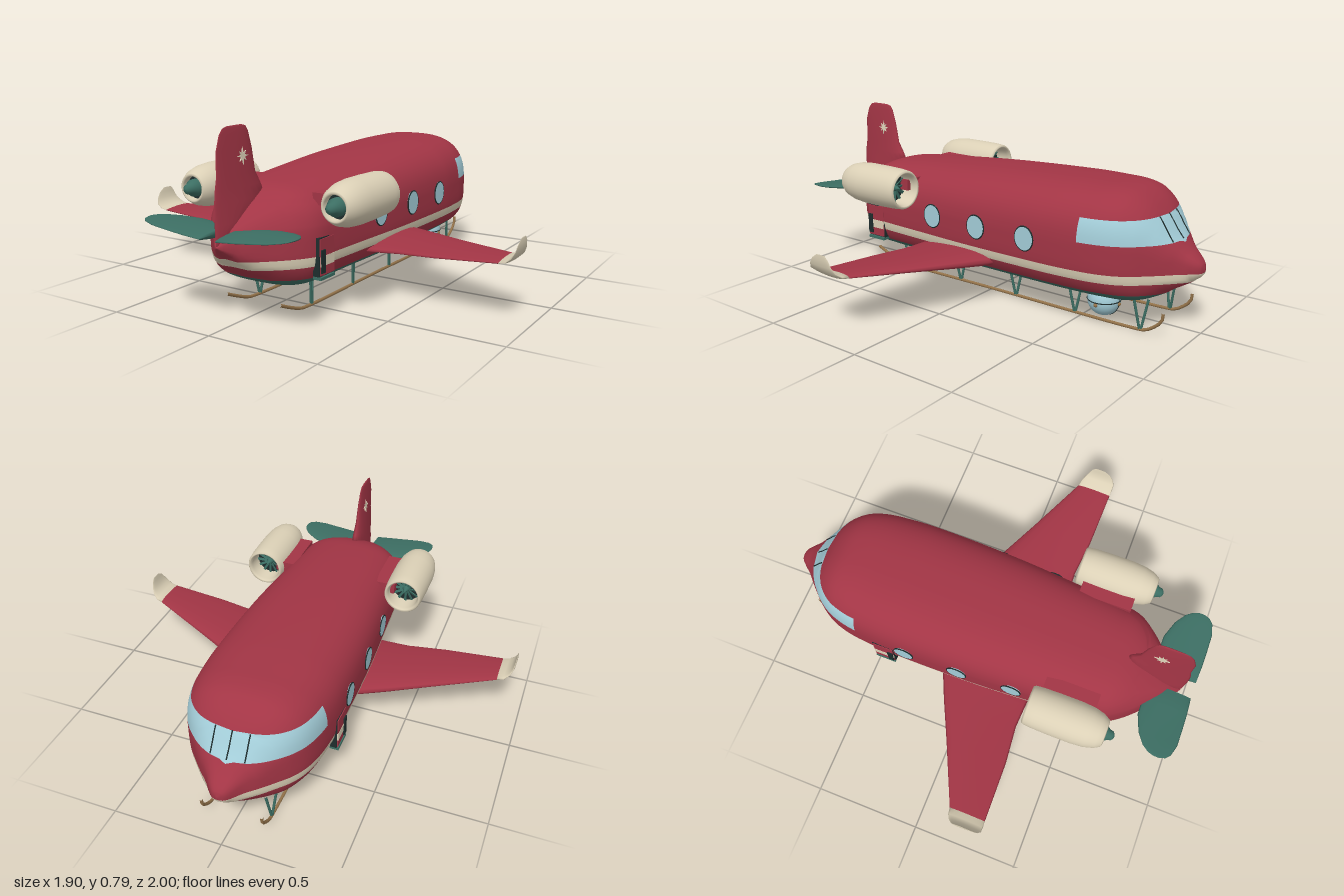
import * as THREE from 'three';
import { mergeVertices } from 'three/addons/utils/BufferGeometryUtils.js';

const V = (x, y, z) => new THREE.Vector3(x, y, z);
const mat = (name, color) => Object.assign(new THREE.MeshStandardMaterial({ color }), { name });

// Fuselage stations: z, half width, top, bottom
const STATIONS = [
  [-1, 0.003, 0.288, 0.275], [-0.992, 0.026, 0.309, 0.256], [-0.97, 0.05, 0.332, 0.236], [-0.93, 0.083, 0.365, 0.208],
  [-0.88, 0.135, 0.42, 0.177], [-0.83, 0.183, 0.492, 0.15], [-0.78, 0.228, 0.548, 0.13], [-0.72, 0.265, 0.586, 0.121],
  [-0.65, 0.289, 0.6, 0.12], [-0.57, 0.303, 0.602, 0.12], [-0.4, 0.314, 0.602, 0.12], [0, 0.31, 0.586, 0.12],
  [0.3, 0.293, 0.566, 0.12], [0.58, 0.275, 0.542, 0.12], [0.66, 0.258, 0.527, 0.128], [0.74, 0.206, 0.492, 0.158],
  [0.82, 0.13, 0.442, 0.212], [0.89, 0.058, 0.387, 0.28], [0.925, 0.024, 0.353, 0.315], [0.94, 0.003, 0.336, 0.332]];

// Smooth interpolation of the stations
function section(z) {
  const S = STATIONS, last = S.length - 1;
  let i = 0;
  while (i < last - 1 && z > S[i + 1][0]) i++;
  const d = S[i + 1][0] - S[i][0], t = (z - S[i][0]) / d;
  const slope = (k, c) => {
    const a = S[Math.max(0, k - 1)], b = S[Math.min(last, k + 1)];
    return (b[c] - a[c]) / (b[0] - a[0]);
  };
  const [w, top, bot] = [1, 2, 3].map(c => (2 * t ** 3 - 3 * t * t + 1) * S[i][c] + (t ** 3 - 2 * t * t + t) * d * slope(i, c)
    + (3 * t * t - 2 * t ** 3) * S[i + 1][c] + (t ** 3 - t * t) * d * slope(i + 1, c));
  return { w: Math.max(w, 0.002), yc: (top + bot) / 2, h: Math.max((top - bot) / 2, 0.002) };
}
const power = t => (t < 0 ? 3.3 : 2.7);
function surfaceX(z, y) {
  const { w, yc, h } = section(z), t = (y - yc) / h, n = power(t);
  return Math.abs(t) >= 1 ? -1 : w * (1 - Math.abs(t) ** n) ** (1 / n);
}

// Skin closed rings, cap both ends and turn the faces outward
function loft(rings, pick = () => 0) {
  const n = rings[0].length, m = rings.length, pts = rings.flat(), lists = [];
  const add = (k, ...tri) => (lists[k] ||= []).push(tri);
  for (let i = 0; i < m - 1; i++) for (let j = 0; j < n; j++) {
    const a = i * n + j, b = i * n + (j + 1) % n, k = pick(i, j);
    add(k, a, b, b + n); add(k, a, b + n, a + n);
  }
  for (const e of [0, m - 1]) {
    const c = pts.length;
    pts.push(rings[e].reduce((s, p) => s.add(p), V(0, 0, 0)).divideScalar(n));
    for (let j = 0; j < n; j++) {
      const a = e * n + j, b = e * n + (j + 1) % n;
      e ? add(pick(e - 1, j), a, b, c) : add(pick(0, j), b, a, c);
    }
  }
  let volume = 0;
  lists.flat().forEach(([a, b, c]) => { volume += pts[a].dot(V(0, 0, 0).crossVectors(pts[b], pts[c])); });
  if (volume < 0) lists.flat().forEach(t => t.reverse());
  const g = new THREE.BufferGeometry().setFromPoints(pts);
  g.setIndex(lists.flat(2));
  let start = 0;
  lists.forEach((l, k) => { g.addGroup(start, l.length * 3, k); start += l.length * 3; });
  const out = mergeVertices(g, 1e-5);
  out.computeVertexNormals();
  return out;
}

// Aerofoil ring in a plane of constant span; tilt turns its thickness from y towards x
function foil(s, [x, y, z0, z1, T, tilt]) {
  return Array.from({ length: 20 }, (_, i) => {
    const a = i / 20 * Math.PI * 2, c = Math.cos(a), th = T / 2 * Math.sin(a) * (1 - 0.35 * c);
    return V(s * (x - th * Math.sin(tilt)), y + th * Math.cos(tilt), (z0 + z1) / 2 + (z1 - z0) / 2 * c);
  });
}

export function createModel() {
  const red = mat('red paint', 0xa23545), cream = mat('cream paint', 0xdbd0b6), green = mat('dark green', 0x3c6e63),
    blue = mat('pale glass', 0xa3cdd8), brown = mat('runner wood', 0x94734a), dark = mat('dark trim', 0x1e2d2d);
  const model = new THREE.Group();
  model.name = 'aircraft';
  const put = (name, geo, m, x = 0, y = 0, z = 0, parent = model) => {
    const mesh = new THREE.Mesh(geo, m);
    mesh.name = name; mesh.position.set(x, y, z); parent.add(mesh);
    return mesh;
  };
  const tube = (name, pts, r, m, seg = 12) => put(name, new THREE.TubeGeometry(new THREE.CatmullRomCurve3(pts), seg, r, 8), m);

  // Fuselage with belly, stripe and windscreen bands
  const levels = [-9, 0.175, 0.23, 0.27, 0.395, 0.495, 9], steps = [10, 2, 2, 5, 4, 10], bandOf = steps.flatMap((c, b) => Array(c).fill(b));
  const zs = STATIONS.slice(1).flatMap((st, i) => [0, 1, 2, 3, 4].map(k => STATIONS[i][0] + (st[0] - STATIONS[i][0]) * k / 5)).concat(0.94);
  const bodyRings = zs.map(z => {
    const { w, yc, h } = section(z), half = [];
    const angle = y => {
      const t = THREE.MathUtils.clamp((y - yc) / h, -1, 1);
      return Math.sign(t) * Math.asin(Math.abs(t) ** (power(t) / 2));
    };
    const point = a => {
      const e = 2 / power(a), s = Math.sin(a);
      return V(w * Math.max(0, Math.cos(a)) ** e, yc + h * Math.sign(s) * Math.abs(s) ** e, z);
    };
    steps.forEach((count, b) => {
      const a0 = angle(levels[b]), a1 = angle(levels[b + 1]);
      for (let k = 0; k < count; k++) half.push(point(a0 + (a1 - a0) * k / count));
    });
    half.push(point(Math.PI / 2));
    return half.concat(half.slice(1, -1).reverse().map(p => V(-p.x, p.y, p.z)));
  });
  const K = bandOf.length;
  put('fuselage', loft(bodyRings, (i, j) => {
    const b = bandOf[j < K ? j : 2 * K - 1 - j];
    return b === 4 ? (zs[i] < -0.571 ? 3 : 1) : [0, 1, 2, 1, 1, 1][b];
  }), [green, red, cream, blue]);

  // Windscreen bars
  for (const x of [-0.075, 0, 0.075]) {
    tube('windscreenBar', [0.397, 0.43, 0.463, 0.494].map(y => {
      let lo = -1, hi = -0.6;
      for (let k = 0; k < 30; k++) { const m = (lo + hi) / 2; surfaceX(m, y) > Math.abs(x) ? hi = m : lo = m; }
      return V(x, y, hi);
    }), 0.003, dark);
  }

  // Fin
  put('fin', loft([[0.34, 0.915, 0.94, 0.01], [0.37, 0.86, 0.942, 0.035], [0.42, 0.77, 0.944, 0.054], [0.5, 0.645, 0.945, 0.05],
    [0.55, 0.67, 0.94, 0.043], [0.6, 0.7, 0.93, 0.036], [0.7, 0.717, 0.928, 0.025], [0.76, 0.735, 0.908, 0.014],
    [0.783, 0.75, 0.888, 0.01], [0.79, 0.775, 0.865, 0.005]]
    .map(([y, z0, z1, T]) => foil(1, [0, y, z0, z1, T, Math.PI / 2]))), red);
  const star = new THREE.Shape(Array.from({ length: 16 }, (_, i) => {
    const a = i * Math.PI / 8, r = i % 2 ? 0.012 : i % 4 ? 0.027 : 0.035;
    return new THREE.Vector2(r * Math.cos(a), r * Math.sin(a));
  }));
  const starGeo = new THREE.ExtrudeGeometry(star, { depth: 0.006, bevelEnabled: false }).translate(0, 0, -0.003).rotateY(Math.PI / 2);

  for (const s of [1, -1]) {
    put('finStar', starGeo, cream, s * 0.0155, 0.67, 0.79).rotation.z = s * 0.08;

    // Wing and upturned tip
    put('wing', loft([[0.2, 0.21, -0.18, 0.3, 0.075, 0.05], [0.31, 0.215, -0.13, 0.292, 0.066, 0.05], [0.42, 0.222, -0.08, 0.286, 0.056, 0.05],
      [0.6, 0.234, 0.008, 0.304, 0.04, 0.05], [0.88, 0.255, 0.14, 0.31, 0.02, 0.05]].map(p => foil(s, p))), red);
    put('wingTip', loft([[0.88, 0.255, 0.14, 0.31, 0.02, 0.05], [0.91, 0.262, 0.145, 0.312, 0.018, 0.3], [0.932, 0.28, 0.158, 0.312, 0.014, 0.8],
      [0.944, 0.305, 0.172, 0.3, 0.01, 1.3], [0.948, 0.333, 0.184, 0.28, 0.007, 1.5], [0.949, 0.353, 0.2, 0.25, 0.003, 1.57]]
      .map(p => foil(s, p))), cream);

    // Tailplane
    put('tailplane', loft([[0.04, 0.376, 0.8, 0.993, 0.032, 0.1], [0.12, 0.383, 0.786, 0.997, 0.03, 0.1], [0.2, 0.391, 0.787, 0.997, 0.026, 0.1],
      [0.28, 0.4, 0.815, 0.995, 0.02, 0.1], [0.33, 0.407, 0.85, 0.98, 0.014, 0.1], [0.352, 0.41, 0.88, 0.96, 0.009, 0.1],
      [0.36, 0.412, 0.905, 0.935, 0.004, 0.1]].map(p => foil(s, p))), green);

    // Engine: shell, fan, exhaust cone and pylon
    const engine = new THREE.Group();
    engine.name = 'engine'; engine.position.set(s * 0.36, 0.483, 0); model.add(engine);
    const lathe = pts => new THREE.LatheGeometry(pts.map(p => new THREE.Vector2(...p)), 32).rotateX(Math.PI / 2);
    const disc = (r, h) => new THREE.CylinderGeometry(r, r, h, 28).rotateX(Math.PI / 2);
    put('nacelle', lathe([[0.066, 0.41], [0.072, 0.33], [0.077, 0.315], [0.084, 0.311], [0.09, 0.32], [0.094, 0.36], [0.096, 0.44],
      [0.096, 0.54], [0.091, 0.6], [0.079, 0.645], [0.063, 0.672], [0.056, 0.676], [0.05, 0.67], [0.049, 0.62]]), cream, 0, 0, 0, engine);
    put('intakeBack', disc(0.07, 0.01), dark, 0, 0, 0.4, engine);
    put('exhaustBack', disc(0.052, 0.01), dark, 0, 0, 0.64, engine);
    put('exhaustCone', lathe([[0.038, 0.64], [0.037, 0.672], [0.024, 0.69], [0.021, 0.705], [0.01, 0.714], [0, 0.716]]), green, 0, 0, 0, engine);
    put('spinner', new THREE.ConeGeometry(0.02, 0.045, 20).rotateX(-Math.PI / 2), green, 0, 0, 0.372, engine);
    for (let k = 0; k < 12; k++) {
      const a = k * Math.PI / 6;
      put('fanBlade', new THREE.BoxGeometry(0.05, 0.012, 0.004).rotateX(0.5).translate(0.042, 0, 0).rotateZ(a), green, 0, 0, 0.387, engine);
    }
    put('pylon', new THREE.BoxGeometry(0.1, 0.05, 0.25), red, s * 0.26, 0.49, 0.475);

    // Round windows with rims
    for (const z of [0.21, -0.055, -0.32]) {
      const x = s * surfaceX(z, 0.365);
      put('window', new THREE.CylinderGeometry(0.047, 0.047, 0.009, 32).rotateZ(Math.PI / 2).scale(1, 1.14, 1), blue, x, 0.365, z);
      put('windowRim', new THREE.TorusGeometry(0.047, 0.003, 6, 32).rotateY(Math.PI / 2).scale(1, 1.14, 1), dark, x + s * 0.002, 0.365, z);
    }

    // Runner with paired struts
    tube('runner', [V(s * 0.137, 0.07, 0.73), V(s * 0.137, 0.045, 0.67), V(s * 0.137, 0.017, 0.59), V(s * 0.137, 0.012, 0.54),
      V(s * 0.137, 0.012, 0), V(s * 0.137, 0.012, -0.76), V(s * 0.137, 0.016, -0.81), V(s * 0.137, 0.042, -0.855),
      V(s * 0.137, 0.075, -0.887), V(s * 0.137, 0.11, -0.892)], 0.007, brown, 60);
    for (const z of [0.51, 0.18, -0.15, -0.47, -0.79]) for (const d of [-1, 1]) {
      tube('strut', [V(s * 0.137, 0.012, z + 0.003 * d), V(s * (0.137 + 0.014 * d), 0.15, z + 0.027 * d)], 0.006, green, 1);
    }
    put('bellyPlate', new THREE.BoxGeometry(0.05, 0.008, 0.05), red, s * 0.09, 0.119, 0.05);
  }

  // Side hatches with stripe, frame, handle and sill
  for (const [s, z] of [[1, 0.6], [-1, -0.43]]) {
    const x = s * (surfaceX(z, 0.3) - 0.011);
    put('hatchFrame', new THREE.BoxGeometry(0.03, 0.158, 0.106), dark, x - s * 0.002, 0.267, z);
    put('hatch', new THREE.BoxGeometry(0.034, 0.15, 0.098), red, x, 0.267, z);
    put('hatchStripe', new THREE.BoxGeometry(0.037, 0.04, 0.098), cream, x, 0.25, z);
    put('hatchHandle', new THREE.BoxGeometry(0.046, 0.095, 0.026), dark, x, 0.25, z + 0.034);
    put('hatchSill', new THREE.BoxGeometry(0.04, 0.012, 0.1), green, x, 0.18, z);
  }

  // Glass ball under the nose with rings and studs
  put('ball', new THREE.SphereGeometry(0.073, 32, 20), blue, 0.11, 0.098, -0.6);
  put('ballRing', new THREE.TorusGeometry(0.073, 0.0025, 6, 40).rotateX(Math.PI / 2), dark, 0.11, 0.098, -0.6);
  put('ballHoop', new THREE.TorusGeometry(0.073, 0.0025, 6, 40).rotateY(Math.PI / 2), dark, 0.11, 0.098, -0.6);
  for (let k = 0; k < 4; k++) {
    const a = k * Math.PI / 2;
    put('ballStud', new THREE.SphereGeometry(0.009, 10, 8), brown, 0.11 + 0.072 * Math.cos(a), 0.088, -0.6 + 0.072 * Math.sin(a));
  }
  return model;
}
